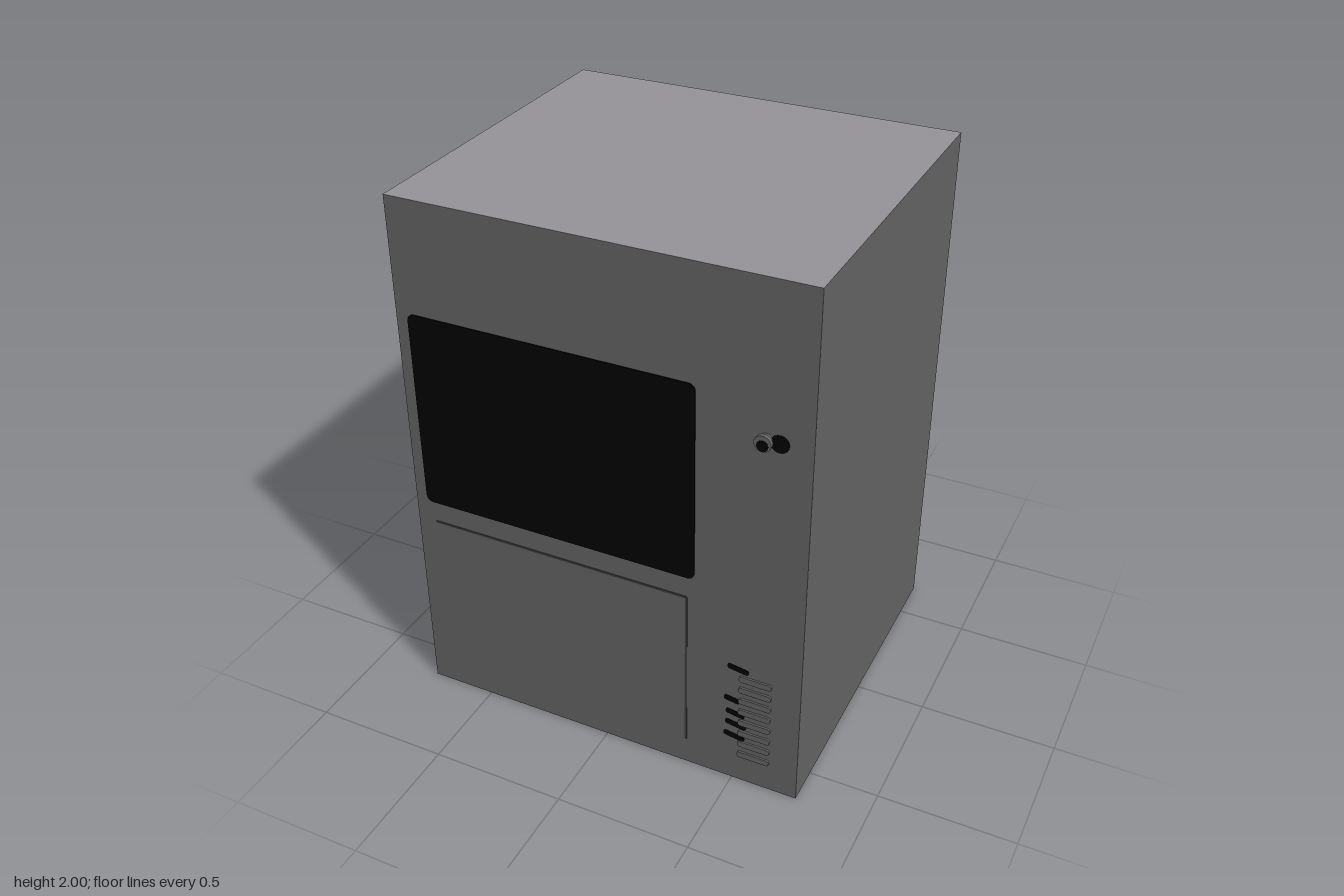
import * as THREE from 'three';

const mat = (name, color) => {
  const m = new THREE.MeshStandardMaterial({ color });
  m.name = name;
  return m;
};

// Rounded rectangle plate with its back on z = 0, centred on x and y
function plateGeometry(w, h, r, depth) {
  const s = new THREE.Shape();
  const x = w / 2, y = h / 2;
  s.moveTo(-x + r, -y);
  s.lineTo(x - r, -y);
  s.absarc(x - r, -y + r, r, -Math.PI / 2, 0);
  s.lineTo(x, y - r);
  s.absarc(x - r, y - r, r, 0, Math.PI / 2);
  s.lineTo(-x + r, y);
  s.absarc(-x + r, y - r, r, Math.PI / 2, Math.PI);
  s.lineTo(-x, -y + r);
  s.absarc(-x + r, -y + r, r, Math.PI, Math.PI * 1.5);
  return new THREE.ExtrudeGeometry(s, { depth, bevelEnabled: false, curveSegments: 6 });
}

export function createModel() {
  const group = new THREE.Group();
  const grey = mat('casing grey', 0x646465);
  const lightGrey = mat('top grey', 0x959298);
  const black = mat('black', 0x020202);
  const seam = mat('seam grey', 0x404041);

  const W = 1.49, H = 2, FRONT = 0.637, BACK = -0.667;
  const add = (name, geometry, material, x, y, z) => {
    const m = new THREE.Mesh(geometry, material);
    m.name = name;
    m.position.set(x, y, z);
    group.add(m);
    return m;
  };

  // Casing: lighter top, black underside
  add('casing', new THREE.BoxGeometry(W, H, FRONT - BACK),
    [grey, grey, lightGrey, black, grey, grey], 0, H / 2, (FRONT + BACK) / 2);

  // Front window and the smaller side window
  add('frontWindow', plateGeometry(1.05, 0.75, 0.025, 0.004), black, -0.175, 1.21, FRONT);
  const side = add('sideWindow', plateGeometry(0.585, 0.51, 0.035, 0.003), black, -W / 2, 1.225, 0.287);
  side.rotation.y = -Math.PI / 2;

  // Lower door panel with its seams
  add('doorPanel', new THREE.BoxGeometry(0.99, 0.64, 0.002), grey, -0.175, 0.43, FRONT + 0.001);
  add('doorTopSeam', new THREE.BoxGeometry(0.99, 0.008, 0.003), seam, -0.175, 0.75, FRONT + 0.0015);
  add('doorSideSeam', new THREE.BoxGeometry(0.008, 0.64, 0.003), seam, 0.32, 0.43, FRONT + 0.0015);

  // Knob with a lipped cap, and the dark mark beside it
  const knobProfile = [[0, 0], [0.022, 0], [0.022, 0.014], [0.029, 0.016], [0.029, 0.03], [0, 0.03]]
    .map(([r, y]) => new THREE.Vector2(r, y));
  const knob = add('knob', new THREE.LatheGeometry(knobProfile, 24).toNonIndexed(), grey, 0.587, 1.453, FRONT);
  knob.geometry.computeVertexNormals();
  knob.rotation.x = Math.PI / 2;
  add('knobFace', new THREE.CylinderGeometry(0.02, 0.02, 0.001, 20), black, 0.587, 1.446, FRONT + 0.0302)
    .rotation.x = Math.PI / 2;
  add('knobMark', new THREE.CylinderGeometry(0.032, 0.032, 0.002, 20), black, 0.633, 1.448, FRONT + 0.001)
    .rotation.x = Math.PI / 2;

  // Vent bars
  const bar = plateGeometry(0.12, 0.024, 0.01, 0.007);
  for (let i = 0; i < 8; i++) {
    add('ventBar', bar, grey, 0.58, 0.125 + i * 0.0495, FRONT);
  }

  // Dark slanted marks beside the vent
  const mark = plateGeometry(0.08, 0.022, 0.01, 0.002);
  for (const [x, y, s] of [[0.505, 0.2, 1], [0.51, 0.255, 1], [0.508, 0.305, 0.9], [0.495, 0.365, 0.75], [0.515, 0.508, 1]]) {
    const m = add('ventMark', mark, black, x, y, FRONT);
    m.scale.x = s;
    m.rotation.z = -0.15;
  }
  return group;
}
